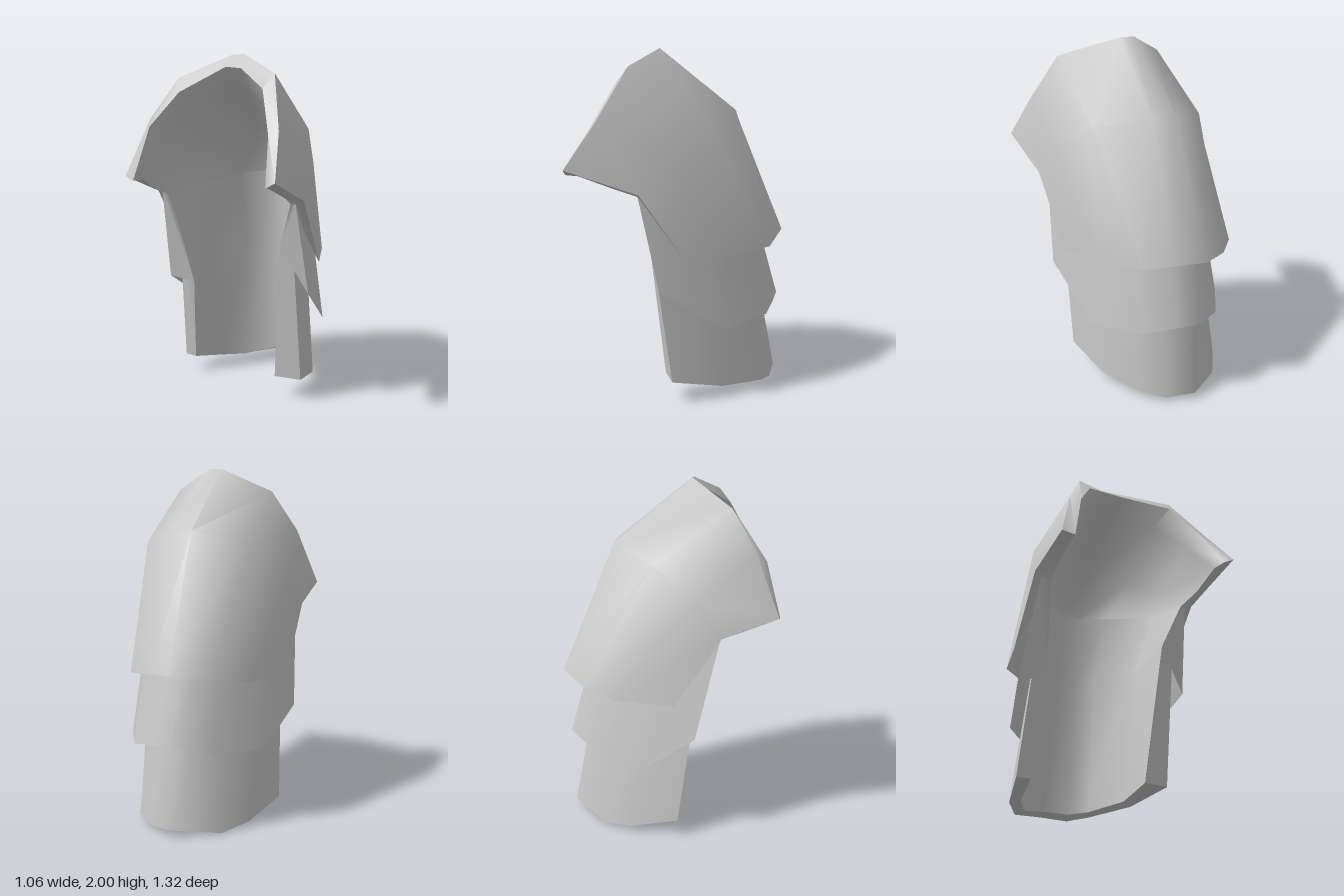
import * as THREE from 'three';
import { toCreasedNormals } from 'three/addons/utils/BufferGeometryUtils.js';

// Every row is an arch of eight points from the left flank over the ridge to the right flank.

// top plate: front rim, bend, rear edge
const topRim = [[0.53, 1.36, 0.66], [0.46, 1.6, 0.49], [0.34, 1.89, 0.31], [0.04, 2, 0.11],
  [-0.04, 2, 0.1], [-0.29, 1.87, 0.28], [-0.41, 1.64, 0.4], [-0.51, 1.32, 0.51]];
const topBend = [[0.5, 1.22, 0.27], [0.47, 1.42, 0.1], [0.33, 1.58, -0.13], [0.07, 1.65, -0.33],
  [-0.07, 1.65, -0.35], [-0.33, 1.58, -0.15], [-0.48, 1.42, 0.07], [-0.52, 1.22, 0.2]];
const topRear = [[0.47, 0.83, 0], [0.36, 0.85, -0.28], [0.23, 0.87, -0.51], [0.07, 0.89, -0.585],
  [-0.09, 0.91, -0.66], [-0.27, 0.88, -0.55], [-0.43, 0.85, -0.37], [-0.52, 0.84, -0.05]];

// middle plate: tucked upper line, lower edge
const middleTuck = [[0.45, 1.2, 0.27], [0.4, 1.25, 0.02], [0.2, 1.3, -0.27], [0.06, 1.32, -0.39],
  [-0.07, 1.32, -0.4], [-0.22, 1.3, -0.3], [-0.4, 1.25, 0], [-0.48, 1.2, 0.2]];
const middleLow = [[0.48, 0.68, 0.16], [0.4, 0.43, -0.22], [0.22, 0.46, -0.5], [0.05, 0.49, -0.58],
  [-0.07, 0.51, -0.63], [-0.27, 0.47, -0.5], [-0.45, 0.43, -0.22], [-0.53, 0.64, 0.06]];

// lower plate: tucked upper line, lower edge
const lowerTuck = [[0.4, 0.98, 0.2], [0.34, 1, -0.08], [0.17, 1, -0.36], [0.05, 1, -0.42],
  [-0.06, 1, -0.43], [-0.22, 1, -0.35], [-0.36, 1, -0.08], [-0.43, 0.98, 0.1]];
const lowerLow = [[0.4, 0.13, 0.08], [0.34, 0.07, -0.22], [0.2, 0.04, -0.48], [0.09, 0.02, -0.56],
  [-0.07, 0.04, -0.62], [-0.3, 0, -0.45], [-0.4, 0.03, -0.3], [-0.48, 0.1, -0.03]];

// rounded rim and the inside of the top plate
const nose = [[0.47, 1.33, 0.65], [0.41, 1.58, 0.51], [0.3, 1.81, 0.37], [0.07, 1.92, 0.2],
  [-0.04, 1.93, 0.18], [-0.25, 1.79, 0.34], [-0.37, 1.6, 0.46], [-0.44, 1.3, 0.53]];
const innerRim = [[0.45, 1.32, 0.58], [0.38, 1.55, 0.4], [0.26, 1.73, 0.24], [0.05, 1.8, 0.08],
  [-0.04, 1.8, 0.07], [-0.22, 1.72, 0.23], [-0.34, 1.55, 0.35], [-0.43, 1.3, 0.45]];
const innerBend = [[0.45, 1.25, 0.4], [0.4, 1.38, 0.1], [0.27, 1.5, -0.1], [0.06, 1.56, -0.25],
  [-0.05, 1.56, -0.25], [-0.27, 1.5, -0.11], [-0.4, 1.38, 0.09], [-0.44, 1.23, 0.33]];

// lining shared by all plates
const innerHigh = [[0.42, 1.2, 0.27], [0.37, 1.22, 0.02], [0.19, 1.28, -0.24], [0.05, 1.3, -0.36],
  [-0.06, 1.3, -0.36], [-0.2, 1.28, -0.26], [-0.37, 1.22, 0.01], [-0.42, 1.18, 0.2]];
const innerMiddle = [[0.32, 0.94, 0.2], [0.31, 0.88, -0.09], [0.16, 0.85, -0.36], [0.04, 0.85, -0.41],
  [-0.06, 0.85, -0.42], [-0.2, 0.85, -0.35], [-0.34, 0.82, -0.1], [-0.36, 0.62, 0.05]];
const innerLow = [[0.24, 0.13, 0.1], [0.28, 0.09, -0.2], [0.17, 0.06, -0.44], [0.07, 0.05, -0.51],
  [-0.07, 0.06, -0.55], [-0.26, 0.02, -0.41], [-0.34, 0.04, -0.28], [-0.4, 0.1, -0.02]];

const COLUMNS = topRim.length;

function makeGeometry(points, index) {
  const geometry = new THREE.BufferGeometry();
  geometry.setAttribute('position', new THREE.Float32BufferAttribute(points.flat(), 3));
  geometry.setIndex(index);
  return toCreasedNormals(geometry, 1.25);
}

// Surface through consecutive rows
function loft(rows) {
  const index = [];
  for (let r = 0; r < rows.length - 1; r++) {
    for (let i = 0; i < COLUMNS - 1; i++) {
      const a = r * COLUMNS + i, b = a + COLUMNS;
      index.push(a, b, a + 1, b, b + 1, a + 1);
    }
  }
  return makeGeometry(rows.flat(), index);
}

// Strip closing one flank between the outside and the lining;
// each step advances the outer (o) or inner (i) edge
function flankEdge(outer, inner, column, flip) {
  const points = [...outer, ...inner].map((row) => row[column]);
  const index = [];
  let o = 0, i = outer.length;
  for (const step of 'iioiooiooio') {
    const tri = step === 'o' ? [o + 1, o, i] : [o, i, i + 1];
    index.push(...(flip ? tri.reverse() : tri));
    if (step === 'o') o++;
    else i++;
  }
  return makeGeometry(points, index);
}

export function createModel() {
  const group = new THREE.Group();
  group.name = 'shoulderArmor';
  const steel = new THREE.MeshStandardMaterial({ color: 0xc8c8c8 });
  steel.name = 'steel grey';

  const add = (name, geometry) => {
    const mesh = new THREE.Mesh(geometry, steel);
    mesh.name = name;
    group.add(mesh);
  };

  // overlapping plates, each ending in a lip that folds under to the next
  add('topPlate', loft([innerHigh, innerBend, innerRim, nose, topRim, topBend, topRear, middleTuck]));
  add('middlePlate', loft([middleTuck, middleLow, lowerTuck]));
  add('lowerPlate', loft([lowerTuck, lowerLow, innerLow]));
  add('lining', loft([innerLow, innerMiddle, innerHigh]));

  // front edges of both flanks
  const outer = [topRim, topBend, topRear, middleTuck, middleLow, lowerTuck, lowerLow];
  const inner = [nose, innerRim, innerBend, innerHigh, innerMiddle, innerLow];
  add('leftFlankEdge', flankEdge(outer, inner, 0, false));
  add('rightFlankEdge', flankEdge(outer, inner, COLUMNS - 1, true));

  return group;
}
